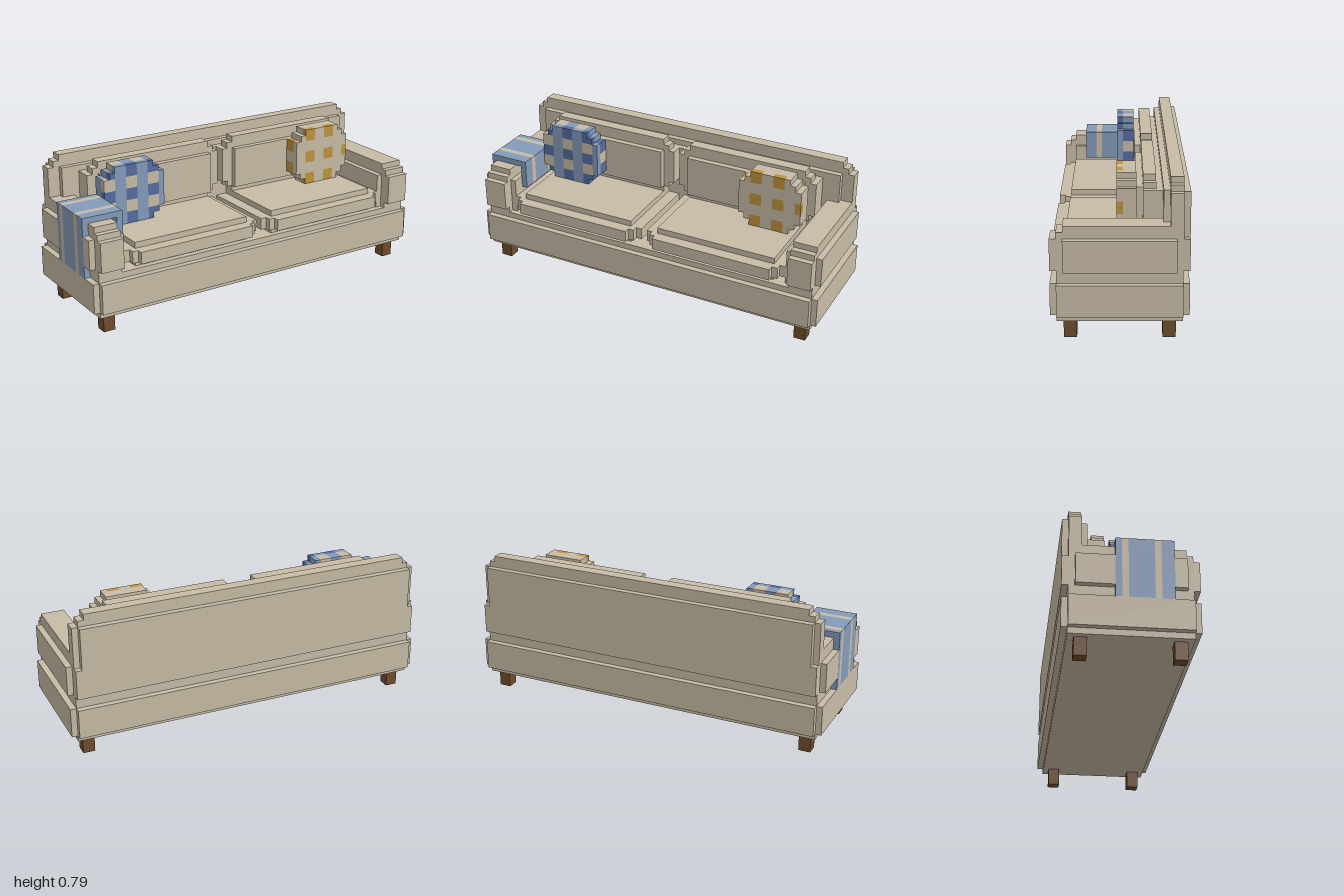
import * as THREE from 'three';
import { mergeGeometries } from 'three/addons/utils/BufferGeometryUtils.js';

// Everything sits on a block grid of 63 x 25 x 21 units; z counts from the back.
const U = 2 / 63;

function blockGeometry([x0, x1, y0, y1, z0, z1]) {
  const g = new THREE.BoxGeometry((x1 - x0) * U, (y1 - y0) * U, (z1 - z0) * U);
  g.translate(((x0 + x1) / 2 - 31.5) * U, ((y0 + y1) / 2) * U, ((z0 + z1) / 2 - 10.5) * U);
  return g;
}

const mirror = ([x0, x1, ...rest]) => [63 - x1, 63 - x0, ...rest];

export function createModel() {
  const root = new THREE.Group();
  root.name = 'sofa';
  const mat = (name, color) => {
    const m = new THREE.MeshStandardMaterial({ color });
    m.name = name;
    return m;
  };
  const beige = mat('beige fabric', 0xc8bca6);
  const blue = mat('light blue fabric', 0x849bba);
  const navy = mat('dark blue fabric', 0x566ca0);
  const gold = mat('gold fabric', 0xbe943c);
  const wood = mat('brown wood', 0x6e4e2e);

  const add = (name, material, boxes, parent = root) => {
    const mesh = new THREE.Mesh(mergeGeometries(boxes.map(blockGeometry)), material);
    mesh.name = name;
    parent.add(mesh);
  };

  // Legs
  for (const x of [2, 59]) for (const z of [2, 17]) add('leg', wood, [[x, x + 2, 0, 3, z, z + 2]]);

  // Base with raised panels on all four sides
  add('base', beige, [
    [1, 62, 3, 10, 1, 20],
    [1, 62, 4, 9, 0, 21],
    [0, 63, 4, 9, 1, 20],
  ]);

  // Backrest with stepped top corners and rear panel
  add('backrest', beige, [
    [1, 62, 10, 23, 1, 3],
    [2, 61, 23, 24, 1, 3],
    [3, 60, 24, 25, 1, 3],
    [3, 60, 10, 23, 3, 4],
    [6, 57, 10, 22, 4, 5],
    [1, 62, 11, 16, 0, 1],
    [2, 61, 16, 23, 0, 1],
  ]);

  // Arms: rounded front, with padding on the front and inside
  const arm = [
    [1, 5, 10, 17, 1, 20],
    [1, 5, 17, 18, 2, 19],
    [1, 5, 11, 16, 20, 21],
    [5, 6, 10, 16, 2, 19],
  ];
  // the outer panel of the right arm leaves room for the blanket
  add('rightArm', beige, [...arm, [0, 1, 11, 16, 2, 8], [0, 1, 11, 16, 17, 19]]);
  add('leftArm', beige, [...arm, [0, 1, 11, 16, 2, 19]].map(mirror));

  // Seat and back cushions, one pair on each side
  const seat = [
    [8, 29, 10, 14, 5, 19],
    [6, 31, 11, 13, 5, 19],
    [7, 30, 11, 13, 5, 20],
    [8, 29, 11, 13, 5, 21],
  ];
  const back = [
    [8, 29, 14, 24, 5, 7],
    [7, 30, 15, 23, 5, 7],
    [6, 31, 16, 22, 5, 7],
    [8, 29, 15, 22, 7, 8],
  ];
  for (const [side, place] of [['right', (b) => b], ['left', mirror]]) {
    add(side + 'SeatCushion', beige, seat.map(place));
    add(side + 'BackCushion', beige, back.map(place));
  }

  // Striped blanket draped over the right arm
  const blanket = new THREE.Group();
  blanket.name = 'blanket';
  root.add(blanket);
  const drape = (z0, z1) => [
    [0, 7, 18, 19, z0, z1],
    [0, 1, 9, 18, z0, z1],
    [6, 7, 14, 18, z0, z1],
  ];
  add('blanketBands', blue, [[8, 9], [10, 14], [15, 17]].flatMap((b) => drape(...b)), blanket);
  add('blanketStripes', beige, [[9, 10], [14, 15]].flatMap((b) => drape(...b)), blanket);

  // Pillows: an octagon of blocks coloured by a check in all three axes
  const pillow = (name, x0, pick) => {
    const group = new THREE.Group();
    group.name = name;
    root.add(group);
    const byColour = new Map();
    for (let i = 0; i < 11; i++) {
      const inset = Math.max(0, 2 - Math.min(i, 10 - i));
      for (let y = 14 + inset; y < 24 - inset; y++) {
        for (let z = 8; z < 11; z++) {
          const x = x0 + i;
          const a = ((x + 1) >> 1) & 1;
          const b = 1 - ((y >> 1) & 1);
          const c = 1 - ((z >> 1) & 1);
          const m = pick(a, b, c);
          if (!byColour.has(m)) byColour.set(m, []);
          byColour.get(m).push([x, x + 1, y, y + 1, z, z + 1]);
        }
      }
    }
    for (const [m, boxes] of byColour) add(name + ' ' + m.name, m, boxes, group);
  };
  pillow('bluePillow', 7, (a, b, c) => (a !== c ? blue : a === b ? navy : beige));
  pillow('goldPillow', 45, (a, b, c) => (a === b && b === c ? gold : beige));

  return root;
}
